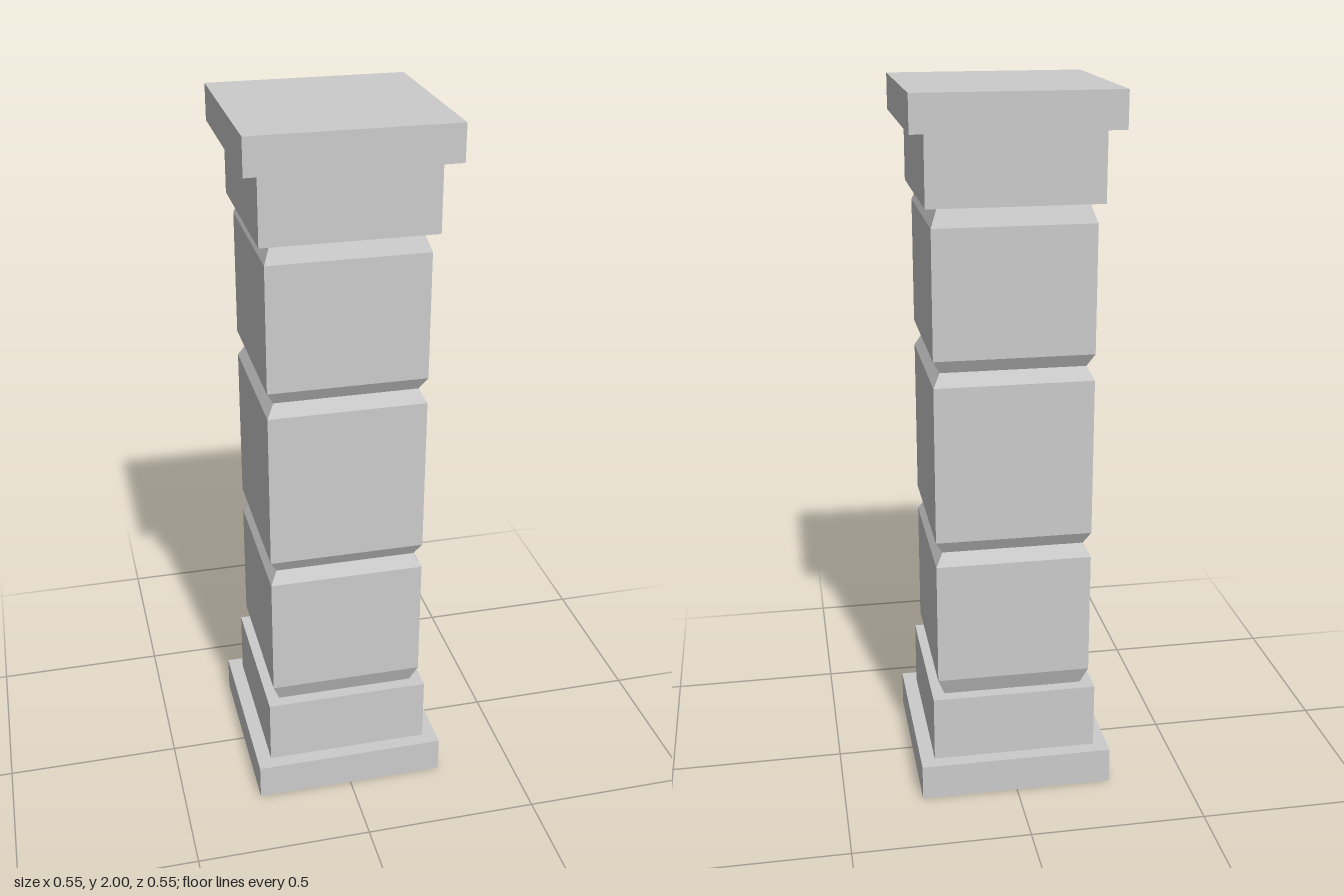
import * as THREE from 'three';

const material = new THREE.MeshStandardMaterial({ color: 0xcccccc, flatShading: true });

// Square solid from a rising profile of [half width, height] points
function squareSolid(name, profile) {
  const points = profile.map(([half, y]) => new THREE.Vector2(half * Math.SQRT2, y));
  points.unshift(new THREE.Vector2(0, points[0].y));
  points.push(new THREE.Vector2(0, points[points.length - 1].y));
  const geometry = new THREE.LatheGeometry(points, 4, Math.PI / 4).toNonIndexed();
  geometry.computeVertexNormals();
  const mesh = new THREE.Mesh(geometry, material);
  mesh.name = name;
  return mesh;
}

function slab(name, half, bottom, top) {
  return squareSolid(name, [[half, bottom], [half, top]]);
}

export function createModel() {
  const pillar = new THREE.Group();
  pillar.name = 'pillar';

  // Stepped base
  pillar.add(slab('baseSlab', 0.277, 0, 0.104));
  pillar.add(slab('basePlinth', 0.236, 0.104, 0.296));

  // Shaft blocks: bottom, top, lower bevel height, upper bevel height
  const neck = 0.2, body = 0.22;
  const blocks = [
    ['lowerBlock', 0.296, 0.742, 0.053, 0.037],
    ['middleBlock', 0.742, 1.264, 0.037, 0.037],
    ['upperBlock', 1.264, 1.708, 0.037, 0.053],
  ];
  for (const [name, bottom, top, low, high] of blocks) {
    pillar.add(squareSolid(name, [
      [neck, bottom], [body, bottom + low], [body, top - high], [neck, top],
    ]));
  }

  // Stepped capital
  pillar.add(slab('capitalBlock', 0.236, 1.708, 1.9));
  pillar.add(slab('capitalSlab', 0.277, 1.9, 2));

  return pillar;
}
